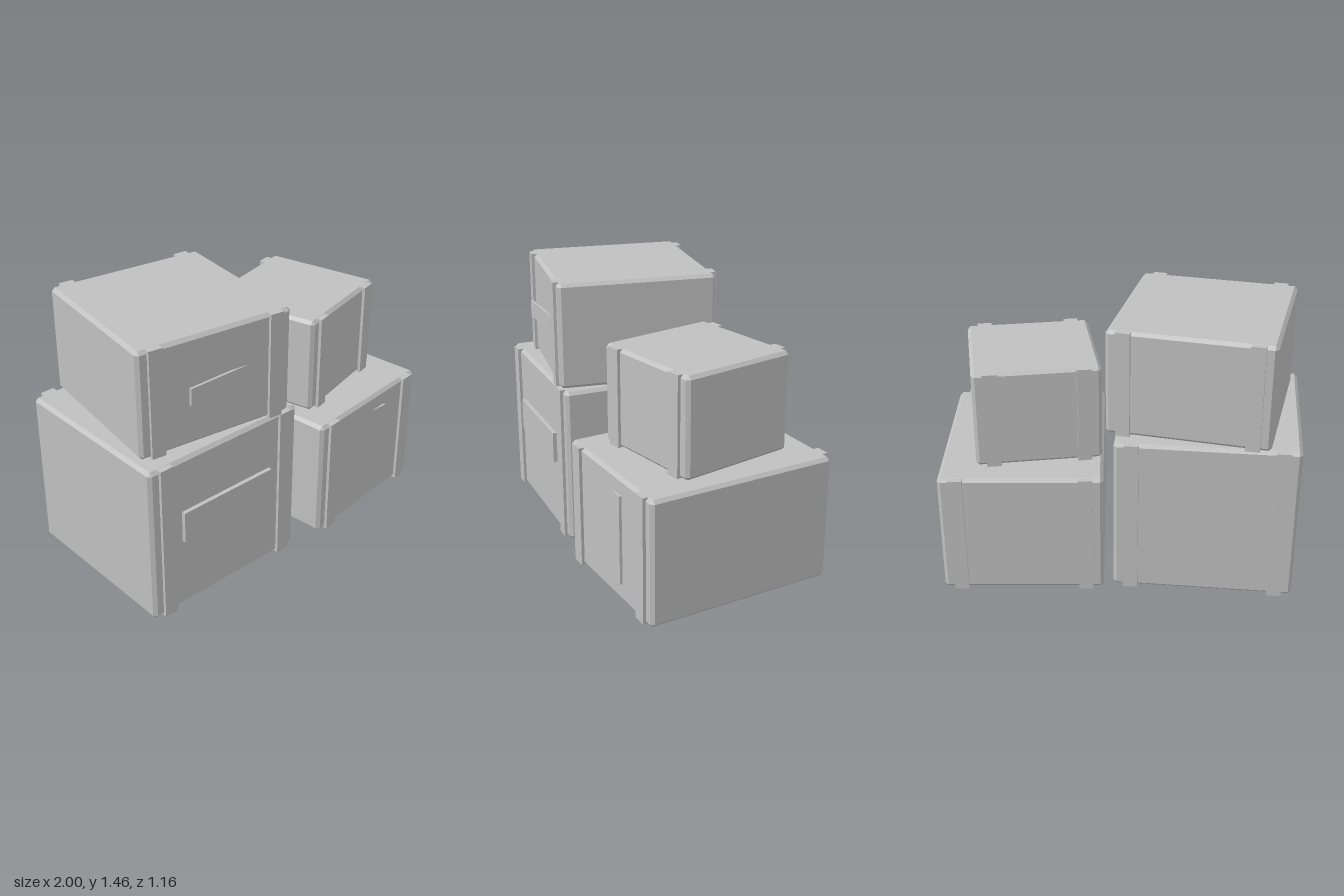
import * as THREE from 'three';
import { ConvexGeometry } from 'three/addons/geometries/ConvexGeometry.js';

const BEVEL = 0.018;

// Box with a flat chamfer on every edge, centred on the origin
function chamferedBox(w, h, d) {
  const points = [];
  for (const sx of [-1, 1]) for (const sy of [-1, 1]) for (const sz of [-1, 1]) {
    for (let axis = 0; axis < 3; axis++) {
      const half = [w / 2, h / 2, d / 2].map((v, i) => (i === axis ? v : v - BEVEL));
      points.push(new THREE.Vector3(sx * half[0], sy * half[1], sz * half[2]));
    }
  }
  return new ConvexGeometry(points);
}

export function createModel() {
  const model = new THREE.Group();
  model.name = 'crateStack';
  const grey = new THREE.MeshStandardMaterial({ color: 0xc0c0c0 });
  grey.name = 'crate grey';

  const addMesh = (parent, name, geometry, x, y, z) => {
    const mesh = new THREE.Mesh(geometry, grey);
    mesh.name = name;
    mesh.position.set(x, y, z);
    parent.add(mesh);
  };

  // Crates: footprint centre, base height, size and turn
  const crates = [
    { name: 'lowerRightCrate', x: -0.515, y: 0, z: 0.043, w: 0.97, h: 0.88, d: 0.97, turn: 0 },
    { name: 'upperRightCrate', x: -0.467, y: 0.88, z: 0.043, w: 0.87, h: 0.58, d: 0.87, turn: -0.14 },
    { name: 'lowerLeftCrate', x: 0.507, y: 0, z: -0.003, w: 0.87, h: 0.683, d: 1.05, turn: 0.11 },
    { name: 'upperLeftCrate', x: 0.457, y: 0.683, z: -0.008, w: 0.675, h: 0.535, d: 0.66, turn: 0.25 },
  ];
  for (const c of crates) {
    const crate = new THREE.Group();
    crate.name = c.name;
    crate.position.set(c.x, c.y, c.z);
    crate.rotation.y = c.turn;
    addMesh(crate, 'body', chamferedBox(c.w, c.h, c.d), 0, c.h / 2, 0);
    // Two upright straps on the front and two on the back
    for (const sx of [-1, 1]) for (const sz of [-1, 1]) {
      addMesh(crate, 'strap', new THREE.BoxGeometry(0.077, c.h - 0.002, 0.045),
        sx * (c.w / 2 - 0.095), c.h / 2, sz * (c.d / 2 - 0.006));
    }
    model.add(crate);
  }

  // Label plates stay square to the front, so they sink into the turned crates
  addMesh(model, 'lowerRightLabel', new THREE.BoxGeometry(0.585, 0.175, 0.03), -0.517, 0.492, 0.535);
  addMesh(model, 'upperRightLabel', new THREE.BoxGeometry(0.36, 0.092, 0.014), -0.53, 1.173, 0.492);
  addMesh(model, 'lowerLeftLabel', new THREE.BoxGeometry(0.3, 0.49, 0.02), 0.55, 0.345, 0.508);

  return model;
}
